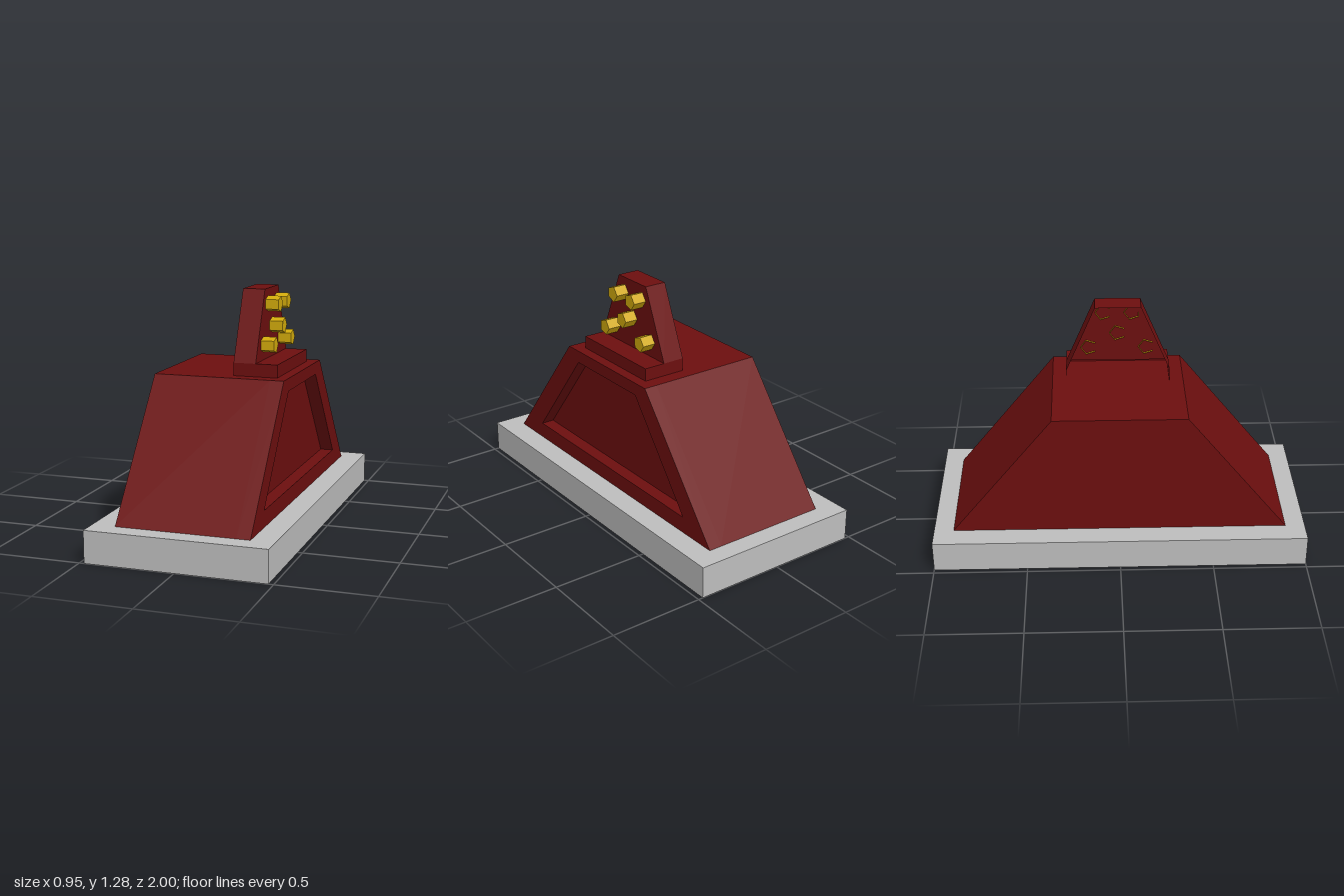
import * as THREE from 'three';

const red = new THREE.MeshStandardMaterial({ color: 0x6c0f0f });
const redSheet = new THREE.MeshStandardMaterial({ color: 0x6c0f0f, side: THREE.DoubleSide });
const grey = new THREE.MeshStandardMaterial({ color: 0xbdbdbd });
const yellow = new THREE.MeshStandardMaterial({ color: 0xd2aa0c, side: THREE.DoubleSide });
red.name = 'dark red';
redSheet.name = 'dark red sheet';
grey.name = 'grey';
yellow.name = 'yellow';

// Symmetric trapezoid outline [z, y], counter-clockwise seen from +x
const trapezoid = (bottomHalf, bottomY, topHalf, topY) => [
  [bottomHalf, bottomY], [-bottomHalf, bottomY], [-topHalf, topY], [topHalf, topY],
];

// Solid slab across x, with an optional hole
function slab(outline, x0, x1, hole) {
  const points = (list) => list.map(([z, y]) => new THREE.Vector2(-z, y));
  const shape = new THREE.Shape(points(outline));
  if (hole) shape.holes.push(new THREE.Path(points(hole)));
  return new THREE.ExtrudeGeometry(shape, { depth: x1 - x0, bevelEnabled: false })
    .rotateY(Math.PI / 2)
    .translate(x0, 0, 0);
}

// Open-backed shell: a cap at xCap, and a wall from starts[i] to the cap on edge i (null = no wall)
function shell(outline, xCap, starts) {
  const pos = [];
  const at = (x, [z, y]) => [x, y, z];
  const triangle = (a, b, c) => pos.push(...a, ...b, ...c);
  outline.forEach((p, i) => {
    const q = outline[(i + 1) % outline.length];
    if (i > 0 && i < outline.length - 1) triangle(at(xCap, outline[0]), at(xCap, p), at(xCap, q));
    const x0 = starts[i];
    if (x0 === null) return;
    triangle(at(xCap, p), at(x0, p), at(x0, q));
    triangle(at(xCap, p), at(x0, q), at(xCap, q));
  });
  const geometry = new THREE.BufferGeometry();
  geometry.setAttribute('position', new THREE.Float32BufferAttribute(pos, 3));
  geometry.computeVertexNormals();
  return geometry;
}

export function createModel() {
  const model = new THREE.Group();
  model.name = 'pedestal';
  const add = (name, geometry, material) => {
    const mesh = new THREE.Mesh(geometry, material);
    mesh.name = name;
    model.add(mesh);
    return mesh;
  };

  // Base slab
  add('base', new THREE.BoxGeometry(0.95, 0.17, 2), grey).position.y = 0.085;

  // Sloped body, with a recessed panel on its left side
  const bodyOutline = trapezoid(0.895, 0.17, 0.353, 0.847);
  const panelOutline = trapezoid(0.675, 0.257, 0.265, 0.78);
  add('body', slab(bodyOutline, -0.352, 0.28), red);
  add('panelFrame', slab(bodyOutline, 0.28, 0.352, panelOutline), red);

  // Bracket, open at the back: a ledge and a tapered upright
  const back = 0.058, face = 0.178;
  add('bracketLedge',
    shell(trapezoid(0.278, 0.847, 0.278, 0.915), 0.295, [null, back, face, back]), redSheet);
  add('bracketPlate',
    shell(trapezoid(0.278, 0.915, 0.121, 1.285), face, [null, back, back, back]), redSheet);

  // Five-sided studs, hollow behind and poking slightly through the plate
  const studs = [[0.077, 1.205], [-0.077, 1.205], [0, 1.083], [0.156, 0.998], [-0.156, 0.998]];
  studs.forEach(([z, y], n) => {
    const pentagon = Array.from({ length: 5 }, (_, i) => {
      const a = (i * 2 * Math.PI) / 5;
      return [z - 0.043 * Math.cos(a), y + 0.043 * Math.sin(a)];
    });
    add(`stud${n + 1}`, shell(pentagon, 0.25, Array(5).fill(0.165)), yellow);
  });

  return model;
}
